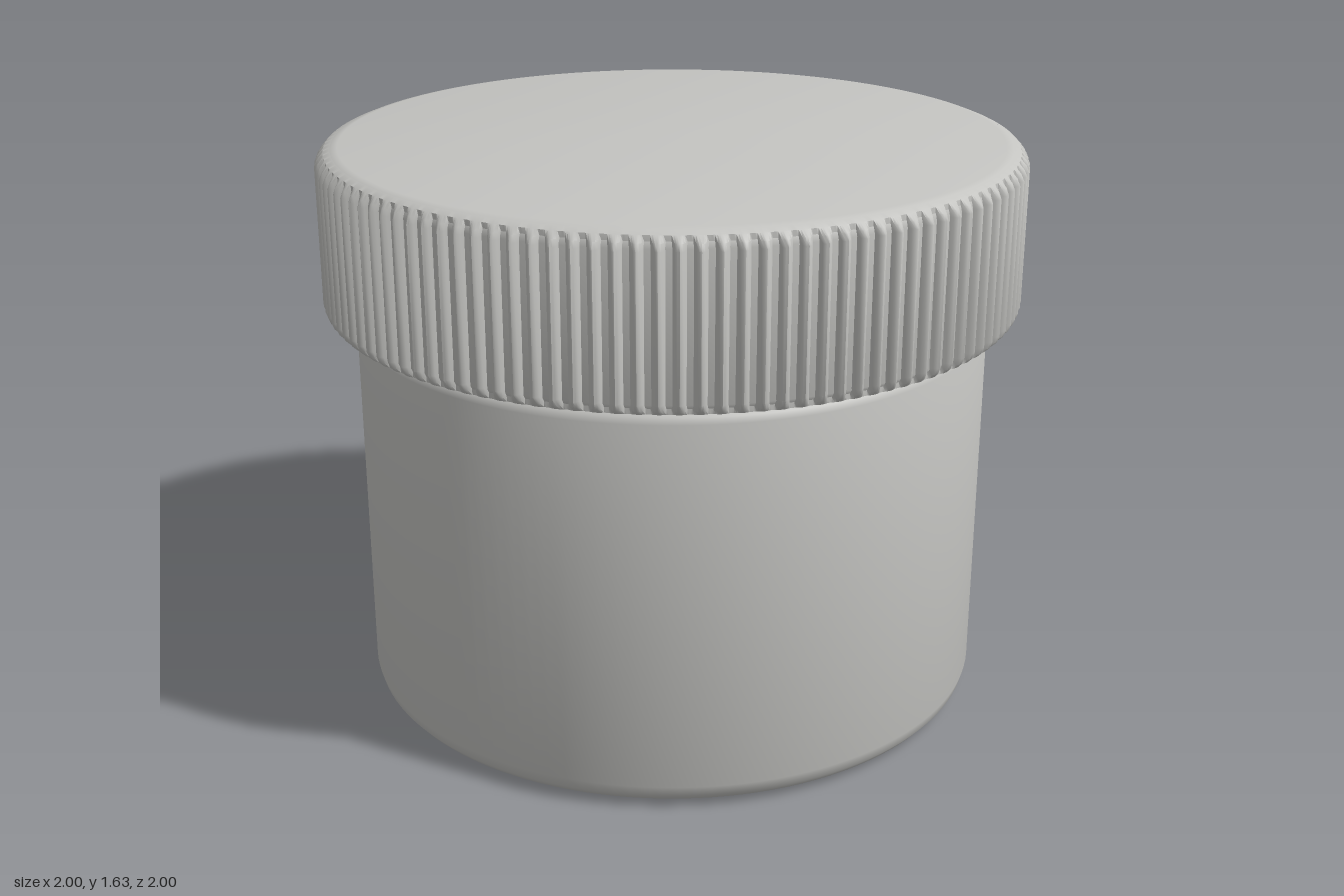
import * as THREE from 'three';
import { toCreasedNormals } from 'three/addons/utils/BufferGeometryUtils.js';

const RIBS = 120;

function lathe(points, segments) {
  return new THREE.LatheGeometry(points.map(([r, y]) => new THREE.Vector2(r, y)), segments);
}

export function createModel() {
  const model = new THREE.Group();
  const plastic = new THREE.MeshStandardMaterial({ color: 0xc4c4c1 });
  const add = (name, geometry) => {
    const mesh = new THREE.Mesh(geometry, plastic);
    mesh.name = name;
    model.add(mesh);
  };

  // Jar body: rounded foot, straight wall, rounded shoulder and narrower neck
  add('jarBody', toCreasedNormals(lathe([
    [0, 0], [0.82, 0], [0.855, 0.006], [0.885, 0.02], [0.902, 0.04], [0.91, 0.07],
    [0.91, 1.115], [0.904, 1.133], [0.89, 1.145], [0.875, 1.15],
    [0.875, 1.54], [0.83, 1.54], [0.83, 0.08], [0, 0.08],
  ], 128), 0.6));

  // Lid shell: hollow underside, rounded lower rim, smooth crown
  add('lid', toCreasedNormals(lathe([
    [0, 1.56], [0.93, 1.56], [0.93, 1.18], [0.94, 1.17], [0.962, 1.17], [0.974, 1.18], [0.98, 1.195],
    [0.98, 1.59], [0.977, 1.606], [0.968, 1.621], [0.955, 1.631], [0.935, 1.635], [0, 1.635],
  ], 240), 0.6));

  // Grip: a band whose radius swells into one rounded rib per pitch
  const steps = 8;
  const grip = lathe([
    [0.958, 1.17], [0.98, 1.17], [0.993, 1.182], [1, 1.2],
    [1, 1.588], [0.992, 1.606], [0.975, 1.623], [0.955, 1.631],
  ], RIBS * steps);
  const core = 0.976;
  const pos = grip.attributes.position;
  for (let i = 0; i < pos.count; i++) {
    const x = pos.getX(i), z = pos.getZ(i);
    const r = Math.hypot(x, z);
    const t = Math.cos(Math.atan2(x, z) * RIBS);
    const swell = Math.sqrt(Math.max(0, (t + 0.4) / 1.4));
    const k = (Math.min(r, core) + Math.max(0, r - core) * swell) / r;
    pos.setX(i, x * k);
    pos.setZ(i, z * k);
  }
  add('gripRibs', toCreasedNormals(grip, 0.7));

  return model;
}
